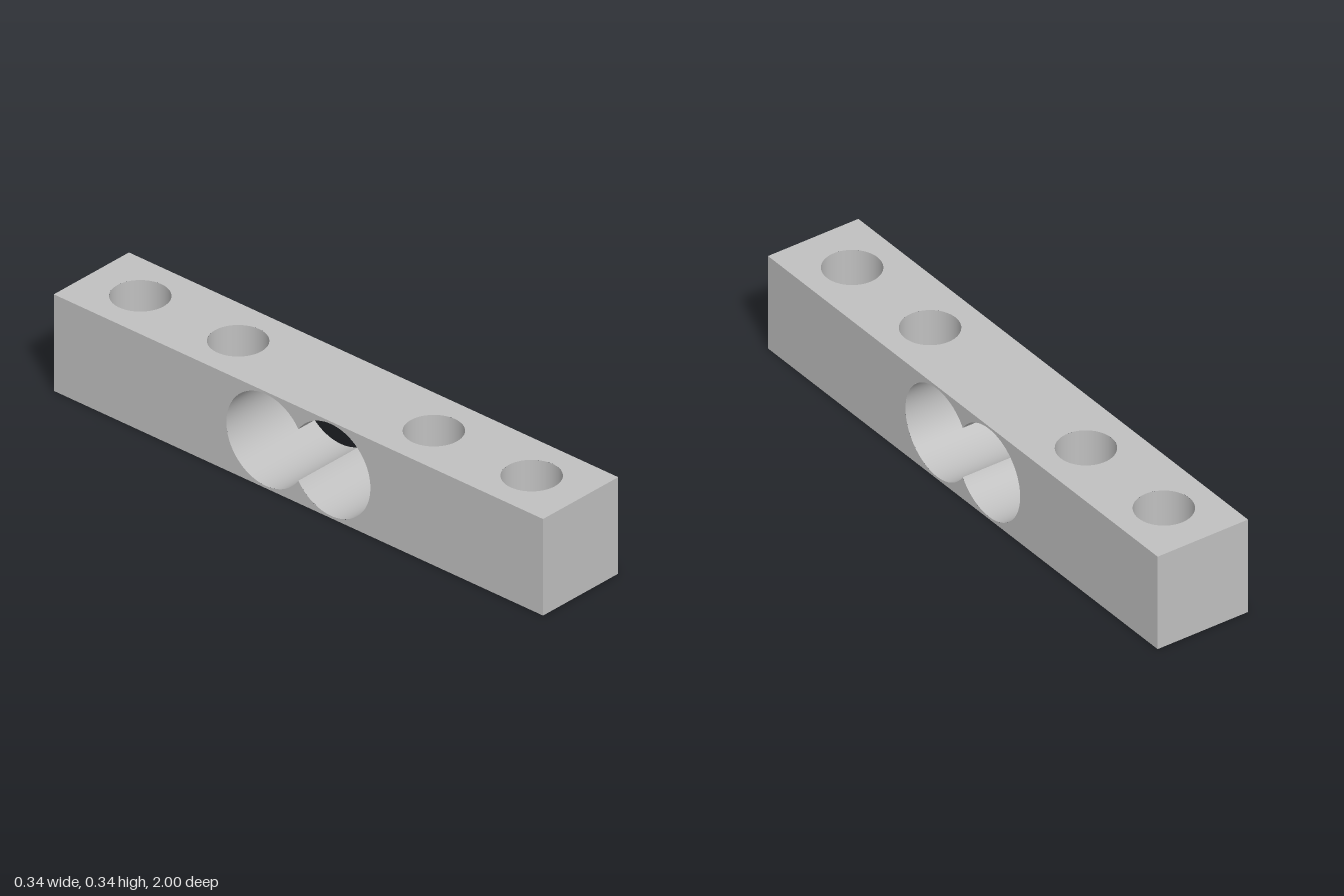
import * as THREE from 'three';

const HALF = 0.1693;      // half width and half height of the square bar
const BOLT_R = 0.0945;    // vertical bolt holes
const LOBE_R = 0.161;     // overlapping cross bores
const LOBE_Z = 0.1333;
const SEG = 64;
const GAP = Math.acos(LOBE_Z / LOBE_R); // half angle where the bores meet

// Rectangle centred on the origin
function rectangle(hw, hh) {
  return new THREE.Shape([
    new THREE.Vector2(-hw, -hh), new THREE.Vector2(hw, -hh),
    new THREE.Vector2(hw, hh), new THREE.Vector2(-hw, hh),
  ]);
}

// Open cylinder wall whose surface faces its axis
function boreWall(radius, start = 0, length = Math.PI * 2) {
  const g = new THREE.CylinderGeometry(radius, radius, HALF * 2, SEG, 1, true, start, length);
  const normal = g.attributes.normal;
  for (let i = 0; i < normal.count; i++) {
    normal.setXYZ(i, -normal.getX(i), -normal.getY(i), -normal.getZ(i));
  }
  g.setIndex(Array.from(g.index.array).reverse());
  return g;
}

export function createModel() {
  const model = new THREE.Group();
  model.name = 'drilledBar';
  const metal = new THREE.MeshStandardMaterial({ color: 0xc0c0c0 });
  metal.name = 'plain grey metal';

  const add = (name, geometry) => {
    const mesh = new THREE.Mesh(geometry, metal);
    mesh.name = name;
    model.add(mesh);
  };

  // Top and bottom faces with four bolt holes
  const boltZ = [-0.8, -0.4, 0.4, 0.8];
  const deck = rectangle(HALF, 1);
  for (const z of boltZ) {
    deck.holes.push(new THREE.Path().absarc(0, z, BOLT_R, 0, Math.PI * 2));
  }
  const deckFace = new THREE.ShapeGeometry(deck, SEG);
  add('topFace', deckFace.clone().rotateX(-Math.PI / 2).translate(0, HALF * 2, 0));
  add('bottomFace', deckFace.clone().rotateX(Math.PI / 2));

  // Side faces with a figure-eight opening
  const side = rectangle(1, HALF);
  side.holes.push(new THREE.Path()
    .absarc(LOBE_Z, 0, LOBE_R, GAP - Math.PI, Math.PI - GAP)
    .absarc(-LOBE_Z, 0, LOBE_R, GAP, Math.PI * 2 - GAP));
  const sideFace = new THREE.ShapeGeometry(side, SEG);
  add('leftFace', sideFace.clone().rotateY(Math.PI / 2).translate(HALF, HALF, 0));
  add('rightFace', sideFace.clone().rotateY(-Math.PI / 2).translate(-HALF, HALF, 0));

  // Plain square ends
  const end = new THREE.PlaneGeometry(HALF * 2, HALF * 2);
  add('frontEnd', end.clone().translate(0, HALF, 1));
  add('backEnd', end.clone().rotateY(Math.PI).translate(0, HALF, -1));

  // Bolt hole walls
  for (const z of boltZ) add('boltHole', boreWall(BOLT_R).translate(0, HALF, z));

  // Cross bore walls, each open where it meets the other
  for (const s of [-1, 1]) {
    const start = s < 0 ? GAP : Math.PI + GAP;
    const wall = boreWall(LOBE_R, start, 2 * (Math.PI - GAP));
    add('crossBore', wall.rotateZ(Math.PI / 2).translate(0, HALF, s * LOBE_Z));
  }
  return model;
}
